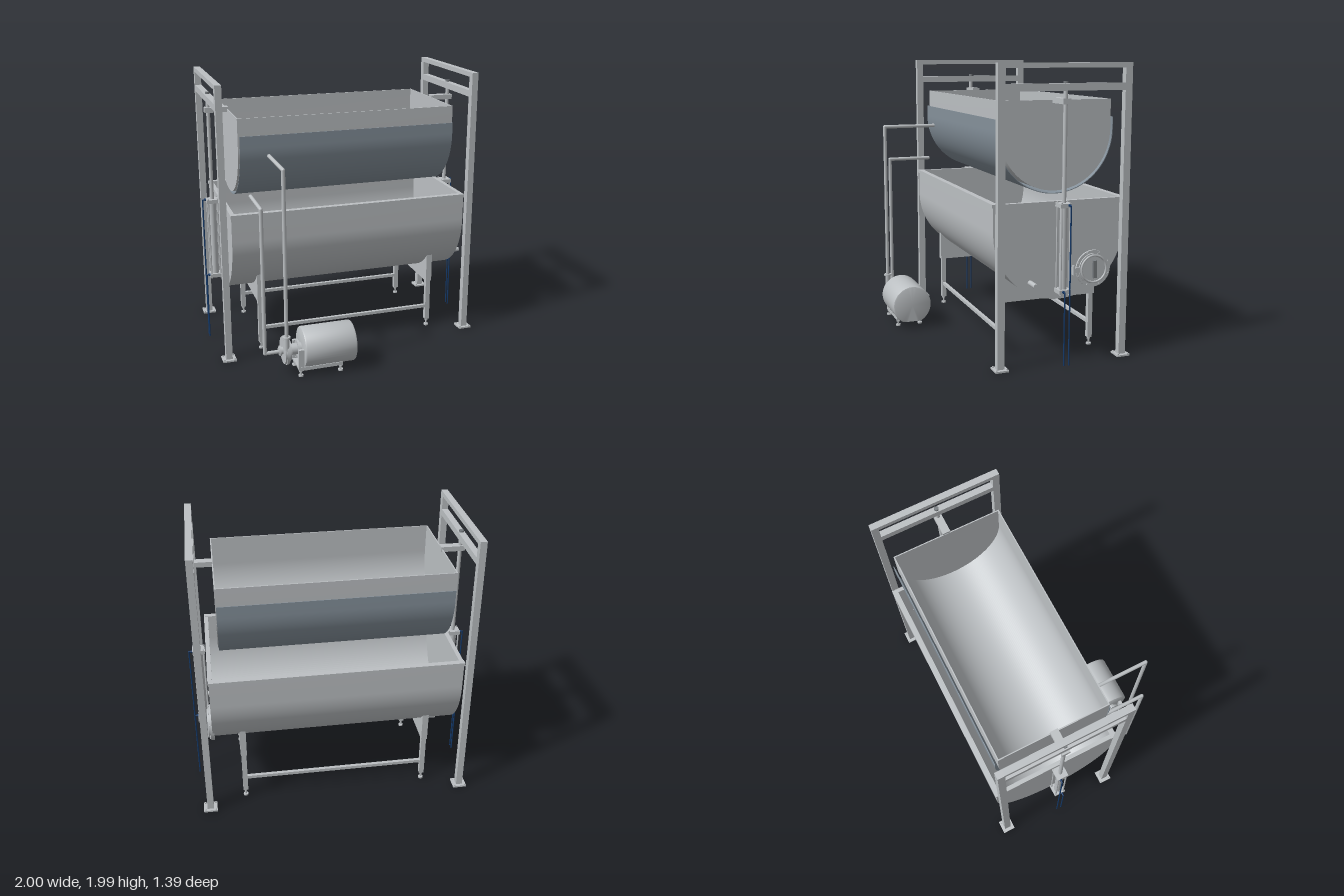
import * as THREE from 'three';
import { toCreasedNormals } from 'three/addons/utils/BufferGeometryUtils.js';

const steel = new THREE.MeshStandardMaterial({ color: 0xbcc0c3 });
steel.name = 'brushed steel';
const jacketGrey = new THREE.MeshStandardMaterial({ color: 0x85919b });
jacketGrey.name = 'blue grey jacket';
const hoseBlue = new THREE.MeshStandardMaterial({ color: 0x143a6b });
hoseBlue.name = 'hose blue';
const darkSteel = new THREE.MeshStandardMaterial({ color: 0x7a7f83 });
darkSteel.name = 'dark steel';

const ZC = -0.2; // centre line of the troughs

export function createModel() {
  const model = new THREE.Group();
  model.name = 'tippingVat';

  function section(name) {
    const g = new THREE.Group();
    g.name = name;
    model.add(g);
    return g;
  }
  function add(g, name, geo, mat = steel) {
    const m = new THREE.Mesh(geo, mat);
    m.name = name;
    g.add(m);
    return m;
  }
  // box given by its limits on each axis
  function box(g, name, x0, x1, y0, y1, z0, z1, mat) {
    const m = add(g, name, new THREE.BoxGeometry(x1 - x0, y1 - y0, z1 - z0), mat);
    m.position.set((x0 + x1) / 2, (y0 + y1) / 2, (z0 + z1) / 2);
    return m;
  }
  // cylinder between two points
  function rod(g, name, a, b, r, mat, sides = 16) {
    const p = new THREE.Vector3(...a), q = new THREE.Vector3(...b);
    const d = q.clone().sub(p);
    const m = add(g, name, new THREE.CylinderGeometry(r, r, d.length(), sides), mat);
    m.position.copy(p).add(q).multiplyScalar(0.5);
    m.quaternion.setFromUnitVectors(new THREE.Vector3(0, 1, 0), d.normalize());
    return m;
  }
  // run of pipe with ball elbows
  function pipe(g, name, pts, r, mat) {
    for (let i = 0; i + 1 < pts.length; i++) {
      rod(g, name, pts[i], pts[i + 1], r, mat, 14);
      if (i > 0) add(g, name + 'Elbow', new THREE.SphereGeometry(r, 14, 10), mat).position.set(...pts[i]);
    }
  }
  // extrude a shape drawn across the vat along x
  function alongX(g, name, shape, x0, x1, mat) {
    let geo = new THREE.ExtrudeGeometry(shape, { depth: x1 - x0, bevelEnabled: false, curveSegments: 48 });
    geo.rotateY(Math.PI / 2);
    geo = toCreasedNormals(geo, 0.5);
    add(g, name, geo, mat).position.set(x0, 0, ZC);
  }
  function uShape(r, cy, top) {
    const s = new THREE.Shape();
    s.moveTo(-r, top);
    s.lineTo(-r, cy);
    s.absarc(0, cy, r, Math.PI, Math.PI * 2, false);
    s.lineTo(r, top);
    return s;
  }
  function uBand(r, t, cy, top) {
    const s = uShape(r, cy, top);
    s.lineTo(r - t, top);
    s.lineTo(r - t, cy);
    s.absarc(0, cy, r - t, 0, -Math.PI, true);
    s.lineTo(-r + t, top);
    return s;
  }
  function levelFoot(g, x, z, top) {
    rod(g, 'footStem', [x, 0.01, z], [x, top, z], 0.007);
    rod(g, 'footPad', [x, 0, z], [x, 0.012, z], 0.018);
    rod(g, 'footNut', [x, top - 0.018, z], [x, top - 0.008, z], 0.013, steel, 6);
  }

  // lower tank with rim
  const tank = section('lowerTank');
  alongX(tank, 'tankShell', uBand(0.472, 0.01, 0.9, 1.085), -0.875, 0.872);
  for (const x of [-0.875, 0.862]) alongX(tank, 'tankEnd', uShape(0.471, 0.9, 1.085), x, x + 0.01);
  for (const s of [-1, 1]) {
    const z = ZC + s * 0.46;
    box(tank, 'tankRimLong', -0.88, 0.875, 1.072, 1.096, z - 0.02, z + 0.02);
    const x = s * 0.862;
    box(tank, 'tankRimEnd', x - 0.015, x + 0.015, 1.072, 1.094, ZC - 0.46, ZC + 0.46);
  }

  // round inspection door and drain on the left end
  const door = section('inspectionDoor');
  const dy = 0.617, dz = -0.445;
  rod(door, 'doorCollar', [0.86, dy, dz], [0.885, dy, dz], 0.127, steel, 40);
  rod(door, 'doorCover', [0.88, dy, dz], [0.895, dy, dz], 0.108, steel, 40);
  const ring = add(door, 'doorRing', new THREE.TorusGeometry(0.092, 0.008, 8, 40));
  ring.position.set(0.895, dy, dz);
  ring.rotation.y = Math.PI / 2;
  box(door, 'doorHandle', 0.893, 0.915, dy - 0.06, dy + 0.06, dz - 0.013, dz + 0.013, darkSteel);
  box(door, 'doorHinge', 0.872, 0.897, dy - 0.016, dy + 0.016, dz + 0.1, dz + 0.148);
  box(door, 'hingePin', 0.872, 0.9, dy - 0.032, dy + 0.032, dz + 0.142, dz + 0.154);
  for (let i = 0; i < 8; i++) {
    const a = (i + 0.5) * Math.PI / 4, y = dy + 0.117 * Math.sin(a), z = dz + 0.117 * Math.cos(a);
    rod(door, 'doorBolt', [0.88, y, z], [0.893, y, z], 0.007, steel, 6);
  }
  rod(tank, 'drainPipe', [0.86, 0.557, 0.012], [0.975, 0.557, 0.012], 0.017);

  // saddles, legs and stretchers
  const stand = section('tankStand');
  const saddle = new THREE.Shape();
  const edge = Math.acos(0.36 / 0.47);
  saddle.moveTo(-0.36, 0.38);
  saddle.lineTo(0.36, 0.38);
  saddle.absarc(0, 0.9, 0.47, -edge, -Math.PI + edge, true);
  for (const s of [-1, 1]) {
    const x = s * 0.663;
    alongX(stand, 'saddle', saddle, x - 0.022, x + 0.022);
    for (const z of [0.135, -0.535]) {
      box(stand, 'tankLeg', x - 0.018, x + 0.018, 0.055, 0.385, z - 0.017, z + 0.017);
      levelFoot(stand, x, z, 0.06);
    }
  }
  for (const z of [0.135, -0.535]) box(stand, 'stretcher', -0.65, 0.65, 0.155, 0.178, z - 0.012, z + 0.012);

  // upper basket and the jacket sheet hung around it
  const basket = section('upperBasket');
  alongX(basket, 'basketShell', uBand(0.4, 0.008, 1.55, 1.75), -0.797, 0.79);
  for (const x of [-0.797, 0.782]) alongX(basket, 'basketEnd', uShape(0.399, 1.55, 1.75), x, x + 0.008);
  alongX(basket, 'jacketSheet', uBand(0.422, 0.005, 1.55, 1.63), -0.788, 0.785, jacketGrey);

  // end frames with lifting cylinders, mirrored
  for (const s of [-1, 1]) {
    const x = s * 0.927;
    const frame = section(s < 0 ? 'rightEndFrame' : 'leftEndFrame');
    for (const z of [0.245, -0.645]) {
      box(frame, 'post', x - 0.023, x + 0.023, 0, 1.993, z - 0.025, z + 0.025);
      box(frame, 'basePlate', x - 0.049, x + 0.049, 0, 0.012, z - 0.047, z + 0.047);
      for (const i of [-1, 1]) for (const j of [-1, 1]) {
        const bx = x + i * 0.037, bz = z + j * 0.036;
        rod(frame, 'baseBolt', [bx, 0.01, bz], [bx, 0.02, bz], 0.006, steel, 6);
      }
    }
    box(frame, 'topBeam', x - 0.023, x + 0.023, 1.96, 1.993, -0.63, 0.23);
    box(frame, 'guideBeam', x - 0.023, x + 0.023, 1.815, 1.862, -0.63, 0.23);

    const lift = section(s < 0 ? 'rightLift' : 'leftLift');
    rod(lift, 'liftRod', [x, 1.08, ZC], [x, 1.87, ZC], 0.014);
    rod(lift, 'rodNut', [x, 1.862, ZC], [x, 1.876, ZC], 0.017, darkSteel, 6);
    const xi = s * 0.785, xo = s * 0.955;
    box(lift, 'basketBracket', Math.min(xi, xo), Math.max(xi, xo), 1.73, 1.766, ZC - 0.028, ZC + 0.028);
    rod(lift, 'cylinderBarrel', [x, 0.5, ZC], [x, 1.075, ZC], 0.026, steel, 24);
    for (const y of [0.497, 1.075]) box(lift, 'cylinderCap', x - 0.044, x + 0.044, y - 0.014, y + 0.014, ZC - 0.042, ZC + 0.042);
    for (const i of [-1, 1]) for (const j of [-1, 1]) {
      const tx = x + i * 0.034, tz = ZC + j * 0.031;
      rod(lift, 'tieRod', [tx, 0.475, tz], [tx, 1.095, tz], 0.006, steel, 8);
    }
    // hoses from each cap down to the floor
    for (const [y, z] of [[1.078, -0.22], [0.5, -0.184]]) {
      pipe(lift, 'hose', [[x, y, z], [s * 0.995, y, z], [s * 0.995, 0, z]], 0.005, hoseBlue);
      rod(lift, 'hoseFitting', [s * 0.965, y, z], [s * 0.982, y, z], 0.009, hoseBlue, 8);
    }
  }

  // motor with rounded ends and a flat underside
  const pump = section('pumpUnit');
  const py = 0.18, pz = 0.555;
  const profile = [[0, 0], [0.132, 0], [0.141, 0.004], [0.145, 0.013], [0.145, 0.362], [0.141, 0.371], [0.132, 0.375], [0, 0.375]];
  let motor = new THREE.LatheGeometry(profile.map(([r, h]) => new THREE.Vector2(r, h)), 48);
  motor.rotateZ(-Math.PI / 2);
  motor.translate(-0.47, py, pz);
  const p = motor.attributes.position;
  for (let i = 0; i < p.count; i++) p.setY(i, Math.max(p.getY(i), 0.055));
  motor = toCreasedNormals(motor.toNonIndexed(), 0.6);
  add(pump, 'motorCasing', motor);
  for (const z of [0.47, 0.64]) {
    box(pump, 'baseRail', -0.51, -0.19, 0.045, 0.07, z - 0.015, z + 0.015);
    for (const x of [-0.495, -0.205]) levelFoot(pump, x, z, 0.05);
    box(pump, 'motorLug', -0.51, -0.47, 0.065, 0.2, z - 0.012, z + 0.012);
  }
  box(pump, 'baseCross', -0.51, -0.19, 0.048, 0.062, 0.47, 0.64);

  // coupling, volute and inlet along the shaft
  for (const [name, x0, x1, r] of [
    ['coupling', -0.56, -0.465, 0.04], ['couplingFlange', -0.5, -0.485, 0.06], ['voluteBack', -0.562, -0.55, 0.075],
    ['volute', -0.6, -0.565, 0.095], ['voluteClamp', -0.588, -0.574, 0.103], ['inletNeck', -0.63, -0.6, 0.026],
    ['inletFlange', -0.625, -0.615, 0.036]]) {
    rod(pump, name, [x0, py - 0.008, pz], [x1, py - 0.008, pz], r, steel, 32);
  }
  rod(pump, 'outletNeck', [-0.588, 0.17, 0.625], [-0.588, 0.3, 0.625], 0.02);
  rod(pump, 'outletFlange', [-0.588, 0.295, 0.625], [-0.588, 0.308, 0.625], 0.028, steel, 24);

  // pipework from pump to vats
  const pipes = section('pipework');
  pipe(pipes, 'suctionPipe', [[-0.6, 0.167, pz], [-0.727, 0.167, pz], [-0.727, 1.212, pz], [-0.727, 1.212, 0.23]], 0.0135);
  pipe(pipes, 'deliveryPipe', [[-0.588, 0.25, 0.625], [-0.588, 1.485, 0.625], [-0.588, 1.485, 0.225]], 0.0135);

  return model;
}
